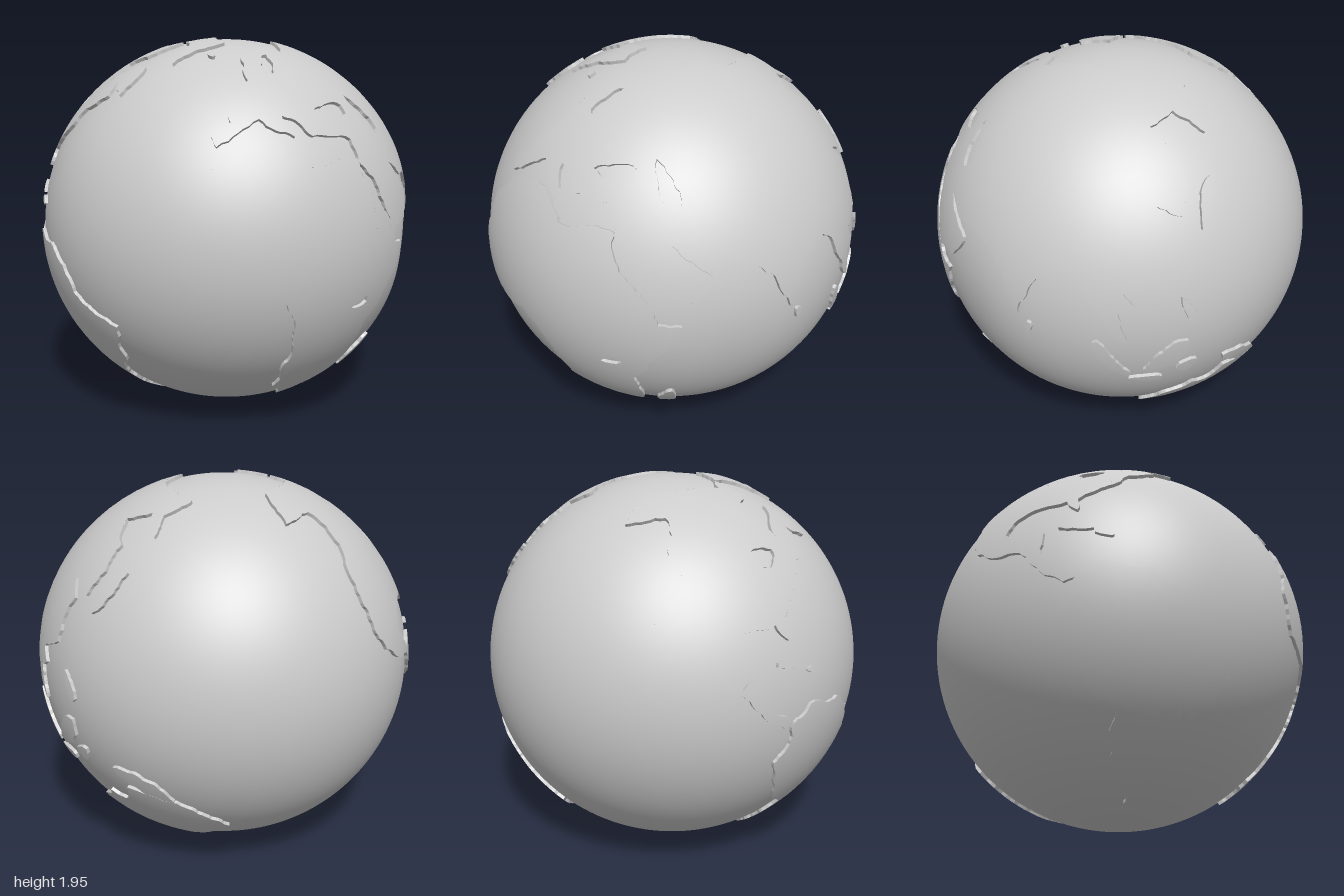
import * as THREE from 'three';

const material = new THREE.MeshStandardMaterial({ color: 0xcccccc, side: THREE.DoubleSide });
const LAND = 0.017;

// Drawing planes for coastlines: [centre x, centre y, steps per unit, azimuth, elevation]
const PLANES = {
  front: [237.5, 223, 189.5, 0, 0],
  right: [686.5, 223.5, 187, 90, 0],
  top: [1134, 225, 189, 0, 90],
  backLeft: [688, 671, 182, 215, 24],
  backRight: [1133, 670.5, 182, 140, -28],
};

// Flat coastline points wrapped on to the unit sphere
function wrap([plane, pts]) {
  const [cx, cy, s, azDeg, elDeg] = PLANES[plane];
  const az = THREE.MathUtils.degToRad(azDeg), el = THREE.MathUtils.degToRad(elDeg);
  const out = new THREE.Vector3(Math.sin(az) * Math.cos(el), Math.sin(el), Math.cos(az) * Math.cos(el));
  const side = new THREE.Vector3(Math.cos(az), 0, -Math.sin(az));
  const up = out.clone().cross(side);
  const dirs = [];
  for (let i = 0; i < pts.length; i += 2) {
    const u = (pts[i] - cx) / s / 0.987, v = (cy - pts[i + 1]) / s / 0.987;
    const w = Math.sqrt(Math.max(0.0004, 1 - u * u - v * v));
    dirs.push(new THREE.Vector3().addScaledVector(side, u).addScaledVector(up, v).addScaledVector(out, w).normalize());
  }
  return dirs;
}

// Oval outline for islands and inland waters
function oval([plane, x, y, long, short, tilt]) {
  const t = THREE.MathUtils.degToRad(tilt), pts = [];
  for (let i = 0; i < 10; i++) {
    const a = (i / 10) * Math.PI * 2, wobble = 1 + 0.15 * Math.sin(3 * a + x);
    const p = long * wobble * Math.cos(a), q = short * wobble * Math.sin(a);
    pts.push(x + p * Math.cos(t) - q * Math.sin(t), y + p * Math.sin(t) + q * Math.cos(t));
  }
  return [plane, pts];
}

// Slightly flattened globe with a shallow dip in one ocean
function radius(d) {
  const a = (Math.atan2(d.x, d.z) - 2.27) / 0.2, b = d.y / 0.32;
  return 0.983 - 0.013 * d.y * d.y - 0.026 * Math.exp(-a * a - b * b);
}
const onGlobe = (d, lift) => d.clone().multiplyScalar(radius(d) + lift);

// Ragged coast: each step is halved and its middle pushed sideways
function ragged(a, b) {
  const length = a.distanceTo(b);
  if (length < 0.035) return [a];
  const noise = Math.sin(a.x * 91 + a.y * 57 + b.z * 73 + b.y * 39);
  const mid = a.clone().add(b).normalize();
  mid.addScaledVector(a.clone().cross(b).normalize(), noise * length * 0.1).normalize();
  return [...ragged(a, mid), ...ragged(mid, b)];
}
const coast = (parts) => parts.flatMap(wrap).flatMap((a, i, all) => ragged(a, all[(i + 1) % all.length]));

// Raised slab with coast walls; an outline joins several [plane, points] parts
function landmass(name, parts, lakes = []) {
  const loops = [coast(parts), ...lakes.map((lake) => coast([oval(lake)]))];
  const centre = loops[0].reduce((s, d) => s.add(d), new THREE.Vector3()).normalize();
  const ex = new THREE.Vector3(0, 1, 0).cross(centre).normalize();
  const ey = centre.clone().cross(ex);
  const flat = loops.map((loop) => loop.map((d) => (
    new THREE.Vector2(d.dot(ex), d.dot(ey)).setLength(centre.angleTo(d)))));
  // Contour counter-clockwise, lakes clockwise
  flat.forEach((f, i) => {
    if (THREE.ShapeUtils.isClockWise(f) === (i === 0)) {
      f.reverse();
      loops[i].reverse();
    }
  });
  const dirs = loops.flat();
  const pos = [], nor = [];

  // Top: halve the longest side until each triangle is small
  function fill(a, b, c) {
    const ab = a.distanceTo(b), bc = b.distanceTo(c), ca = c.distanceTo(a);
    const longest = Math.max(ab, bc, ca);
    if (longest > 0.1) {
      if (longest === bc) return fill(b, c, a);
      if (longest === ca) return fill(c, a, b);
      const h = a.clone().add(b).normalize();
      fill(a, h, c);
      fill(h, b, c);
      return;
    }
    const n = b.clone().sub(a).cross(c.clone().sub(a));
    for (const d of n.dot(a) < 0 ? [a, c, b] : [a, b, c]) {
      pos.push(...onGlobe(d, LAND).toArray());
      nor.push(d.x, d.y, d.z);
    }
  }
  for (const [i, j, k] of THREE.ShapeUtils.triangulateShape(flat[0], flat.slice(1))) fill(dirs[i], dirs[j], dirs[k]);

  // Coast walls
  for (const loop of loops) loop.forEach((a, i) => {
    const b = loop[(i + 1) % loop.length];
    const n = b.clone().sub(a).cross(a).normalize();
    const [a0, b0, a1, b1] = [onGlobe(a, -0.02), onGlobe(b, -0.02), onGlobe(a, LAND), onGlobe(b, LAND)];
    for (const p of [a0, b0, b1, a0, b1, a1]) {
      pos.push(p.x, p.y, p.z);
      nor.push(n.x, n.y, n.z);
    }
  });
  const geo = new THREE.BufferGeometry();
  geo.setAttribute('position', new THREE.Float32BufferAttribute(pos, 3));
  geo.setAttribute('normal', new THREE.Float32BufferAttribute(nor, 3));
  const mesh = new THREE.Mesh(geo, material);
  mesh.name = name;
  return mesh;
}

function ocean() {
  const geo = new THREE.SphereGeometry(1, 128, 80);
  const p = geo.attributes.position, d = new THREE.Vector3();
  for (let i = 0; i < p.count; i++) {
    d.fromBufferAttribute(p, i).normalize();
    p.setXYZ(i, ...onGlobe(d, 0).toArray());
  }
  const mesh = new THREE.Mesh(geo, material);
  mesh.name = 'ocean';
  return mesh;
}

const SOUTH_AMERICA = [['front', [146, 239, 165, 224, 206, 229, 232, 246, 243, 270, 291, 295, 274, 336, 248, 360, 236, 381,
  230, 405, 207, 384, 192, 342, 166, 325, 138, 276, 148, 252]]];

const NORTH_AMERICA = [
  ['front', [147, 238, 128, 224, 120, 204, 123, 187, 106, 199, 95, 176, 104, 160, 143, 150, 150, 164, 152, 148, 203, 105,
    231, 92, 228, 80, 249, 91]],
  ['top', [1144, 328, 1130, 322, 1098, 346, 1093, 314, 1116, 308, 1127, 273, 1112, 284, 1065, 233, 1025, 232, 1041, 264, 986, 281]],
  ['front', [73, 172, 80, 192, 118, 223, 138, 241]],
];

const AFRICA = [['right', [586, 136, 630, 128, 650, 150, 704, 147, 712, 178, 746, 225, 765, 227, 718, 296, 719, 325, 703, 358,
  672, 379, 641, 333, 641, 310, 623, 264, 605, 250, 552, 248, 543, 210, 562, 160]]];

const EURASIA = [
  ['right', [704, 149, 730, 192, 741, 214, 772, 208, 786, 182, 752, 154, 775, 168]],
  ['backRight', [1108, 545, 1138, 560, 1155, 590, 1165, 570, 1195, 552]],
  ['backLeft', [558, 705, 580, 746, 574, 716, 586, 714, 579, 700, 605, 695, 620, 655, 611, 636, 634, 652, 654, 604, 642, 577,
    668, 570, 684, 594, 681, 572, 697, 553]],
  ['top', [1082, 163, 1145, 168, 1208, 217, 1195, 235]],
  ['right', [650, 57, 633, 79, 611, 92, 600, 113, 584, 120, 583, 132, 622, 110, 645, 125, 642, 108, 662, 125, 703, 130]],
];

const AUSTRALIA = [['backRight', [1207, 770, 1222, 756, 1220, 742, 1268, 718, 1272, 730, 1286, 716, 1290, 745, 1262, 793, 1222, 797]]];

const ARCTIC_ISLAND = [['top', [1130, 272, 1145, 246, 1172, 256, 1169, 314, 1150, 282]]];

// Ovals: plane, centre x, centre y, half length, half width, tilt
const AMERICAN_LAKES = [['front', 171, 98, 12, 7, -20]];
const AFRICAN_LAKES = [['right', 702, 274, 10, 4, -15]];
const INLAND_SEAS = [['right', 662, 66, 13, 4, -40], ['right', 696, 105, 19, 6, 0], ['right', 740, 113, 21, 6, 52]];

const ISLANDS = {
  northAtlanticIsland: ['top', 1188, 283, 4, 3, 0],
  caribbeanWest: ['front', 146, 185, 14, 3, 13],
  caribbeanEast: ['front', 170, 194, 8, 3, 20],
  eastAfricanIsland: ['right', 737, 340, 19, 7, -63],
  southIndianIsland: ['backRight', 1165, 600, 3, 5, 0],
  westSundaIsland: ['backRight', 1228, 637, 27, 5, 68],
  centralSundaIsland: ['backRight', 1266, 653, 17, 10, -40],
  southSundaIsland: ['backRight', 1249, 674, 12, 4, 32],
  eastSundaIsland: ['backLeft', 632, 787, 8, 6, 0],
  westPacificIsland: ['backLeft', 627, 732, 14, 4, 65],
  northPacificIsland: ['backLeft', 659, 645, 23, 6, -60],
  melanesianIsland: ['backLeft', 697, 803, 28, 7, 20],
};

export function createModel() {
  const globe = new THREE.Group();
  globe.name = 'globe';
  globe.add(
    ocean(),
    landmass('southAmerica', SOUTH_AMERICA),
    landmass('northAmerica', NORTH_AMERICA, AMERICAN_LAKES),
    landmass('africa', AFRICA, AFRICAN_LAKES),
    landmass('eurasia', EURASIA, INLAND_SEAS),
    landmass('australia', AUSTRALIA),
    landmass('arcticIsland', ARCTIC_ISLAND),
  );
  for (const [name, island] of Object.entries(ISLANDS)) globe.add(landmass(name, [oval(island)]));
  globe.position.y = 1;
  const model = new THREE.Group();
  model.add(globe);
  return model;
}
